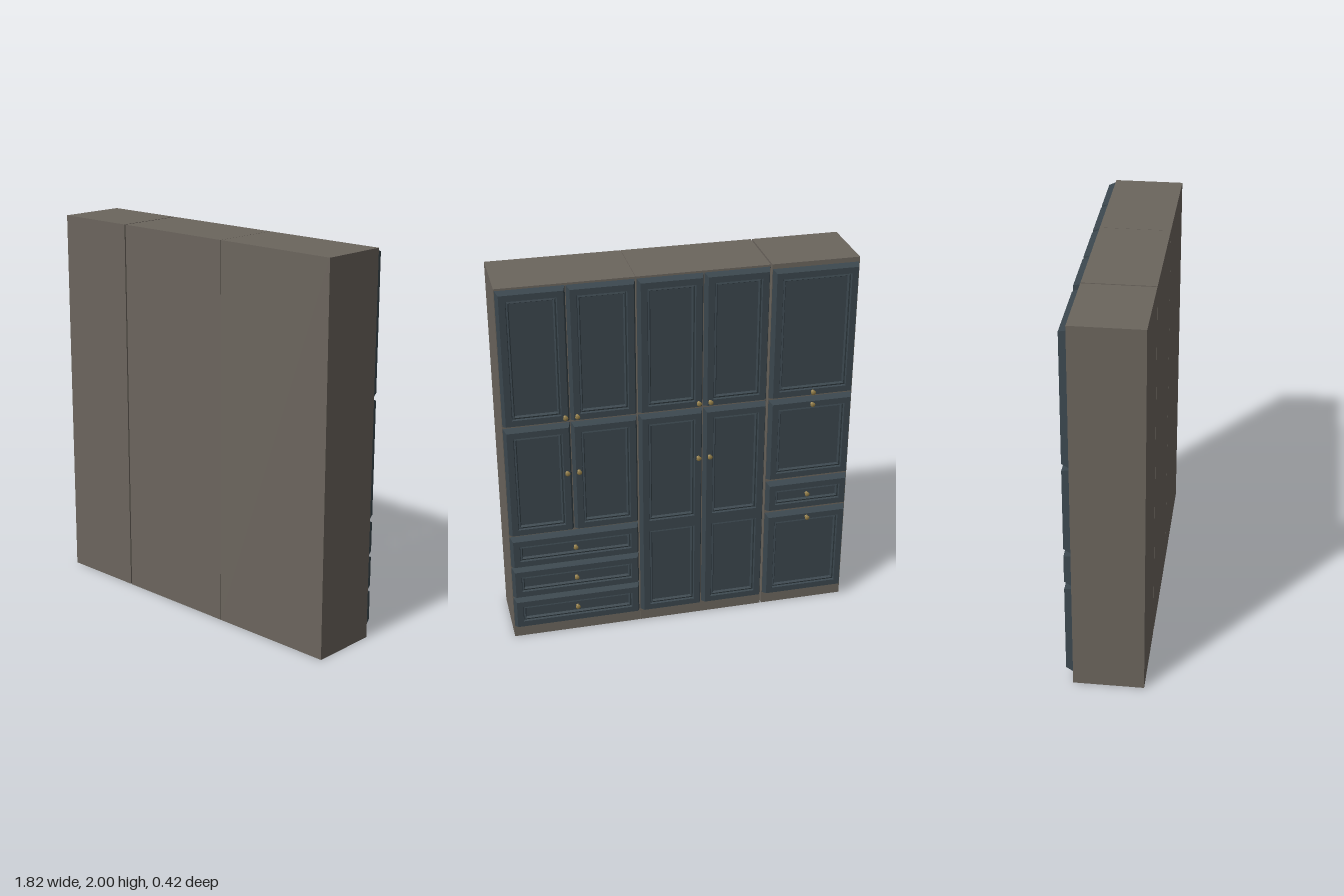
import * as THREE from 'three';

const carcassMat = new THREE.MeshStandardMaterial({ color: 0x6b655d });
const doorMat = new THREE.MeshStandardMaterial({ color: 0x3a464d });
const brassMat = new THREE.MeshStandardMaterial({ color: 0x96804a });

const FACE = 0.15;   // carcass face that carries the doors
const THICK = 0.037; // door thickness
const STILE = 0.045; // frame width around a panel

// Panel moulding: [inset from opening, height above carcass face]
const MOULDING = [[0, THICK], [0.004, 0.027], [0.012, 0.030], [0.018, 0.018]];
const EDGE = [[0, 0], [0.003, 0.008], [0.013, THICK]];

// Bands of quads between nested rectangles, optionally closed by a flat panel
function steppedRect([x0, x1, y0, y1], steps, closed) {
  const rings = steps.map(([i, z]) => [
    [x0 + i, y0 + i, z], [x1 - i, y0 + i, z], [x1 - i, y1 - i, z], [x0 + i, y1 - i, z]]);
  const pos = [];
  const quad = (a, b, c, d) => pos.push(...a, ...b, ...c, ...a, ...c, ...d);
  for (let r = 0; r + 1 < rings.length; r++) {
    for (let k = 0; k < 4; k++) {
      const n = (k + 1) % 4;
      quad(rings[r][k], rings[r][n], rings[r + 1][n], rings[r + 1][k]);
    }
  }
  if (closed) quad(...rings[rings.length - 1]);
  const g = new THREE.BufferGeometry();
  g.setAttribute('position', new THREE.Float32BufferAttribute(pos, 3));
  g.computeVertexNormals();
  return g;
}

const corners = ([x0, x1, y0, y1]) =>
  [[x0, y0], [x1, y0], [x1, y1], [x0, y1]].map(p => new THREE.Vector2(...p));

// Framed door; splits are heights of middle rails
function makeDoor(name, rect, splits = []) {
  const [x0, x1, y0, y1] = rect;
  const door = new THREE.Group();
  door.name = name;
  const add = (part, geo) => {
    const m = new THREE.Mesh(geo, doorMat);
    m.name = part;
    door.add(m);
  };
  add('bevelledEdge', steppedRect(rect, EDGE, false));

  const levels = [y0, ...splits, y1];
  const openings = [];
  for (let i = 0; i + 1 < levels.length; i++) {
    const low = levels[i] + (i === 0 ? STILE : STILE * 0.7);
    const high = levels[i + 1] - (i === levels.length - 2 ? STILE : STILE * 0.7);
    openings.push([x0 + STILE, x1 - STILE, low, high]);
  }
  const e = EDGE[EDGE.length - 1][0];
  const frame = new THREE.Shape(corners([x0 + e, x1 - e, y0 + e, y1 - e]));
  for (const o of openings) {
    frame.holes.push(new THREE.Path(corners(o).reverse()));
    add('recessedPanel', steppedRect(o, MOULDING, true));
  }
  add('frame', new THREE.ShapeGeometry(frame).translate(0, 0, THICK));
  door.position.z = FACE;
  return door;
}

const knobGeo = new THREE.LatheGeometry(
  [[0.009, 0], [0.008, 0.003], [0.004, 0.006], [0.004, 0.011], [0.012, 0.015],
    [0.013, 0.018], [0.009, 0.021], [0, 0.022]].map(p => new THREE.Vector2(...p)), 16)
  .rotateX(Math.PI / 2);

function makeKnob(x, y, z = THICK) {
  const knob = new THREE.Mesh(knobGeo, brassMat);
  knob.name = 'knob';
  knob.position.set(x, y, FACE + z);
  return knob;
}

export function createModel() {
  const model = new THREE.Group();
  model.name = 'cabinetWall';

  // Built with doors towards +z, then turned so they face the back
  const body = new THREE.Group();
  body.name = 'cabinets';
  body.rotation.y = Math.PI;
  model.add(body);

  // Three carcasses side by side
  const bays = { drawer: [-0.91, -0.227], tall: [-0.225, 0.45], narrow: [0.458, 0.91] };
  for (const [name, [a, b]] of Object.entries(bays)) {
    const box = new THREE.Mesh(new THREE.BoxGeometry(b - a, 2, 0.36), carcassMat);
    box.name = name + 'Carcass';
    box.position.set((a + b) / 2, 1, -0.03);
    body.add(box);
  }

  // Pair of doors with knobs beside the meeting edge
  const pair = (name, [a, b], y0, y1, knobY, splits) => {
    const mid = (a + b) / 2;
    body.add(makeDoor(name, [a + 0.003, mid - 0.002, y0, y1], splits),
      makeDoor(name, [mid + 0.002, b - 0.003, y0, y1], splits));
    for (const s of [-1, 1]) body.add(makeKnob(mid + s * 0.03, knobY));
  };
  pair('upperDoor', bays.drawer, 1.268, 1.99, 1.305);
  pair('upperDoor', bays.tall, 1.268, 1.99, 1.305);
  pair('middleDoor', bays.drawer, 0.637, 1.256, 0.99);
  pair('tallDoor', bays.tall, 0.07, 1.256, 0.99, [0.61]);

  // Drawers, with the knob set in the recessed panel
  const drawer = ([a, b], y0, y1) => body.add(
    makeDoor('drawerFront', [a + 0.003, b - 0.003, y0, y1]),
    makeKnob((a + b) / 2, (y0 + y1) / 2, 0.018));
  for (let i = 0; i < 3; i++) drawer(bays.drawer, 0.07 + i * 0.187, 0.25 + i * 0.187);

  // Narrow bay: three single doors and a drawer
  const n = bays.narrow;
  for (const [name, y0, y1, knobY] of [['upperDoor', 1.268, 1.975, 1.3],
    ['middleDoor', 0.79, 1.256, 1.23], ['lowerDoor', 0.07, 0.58, 0.55]]) {
    body.add(makeDoor(name, [n[0] + 0.003, n[1] - 0.003, y0, y1]),
      makeKnob((n[0] + n[1]) / 2, knobY));
  }
  drawer(n, 0.598, 0.773);

  return model;
}
